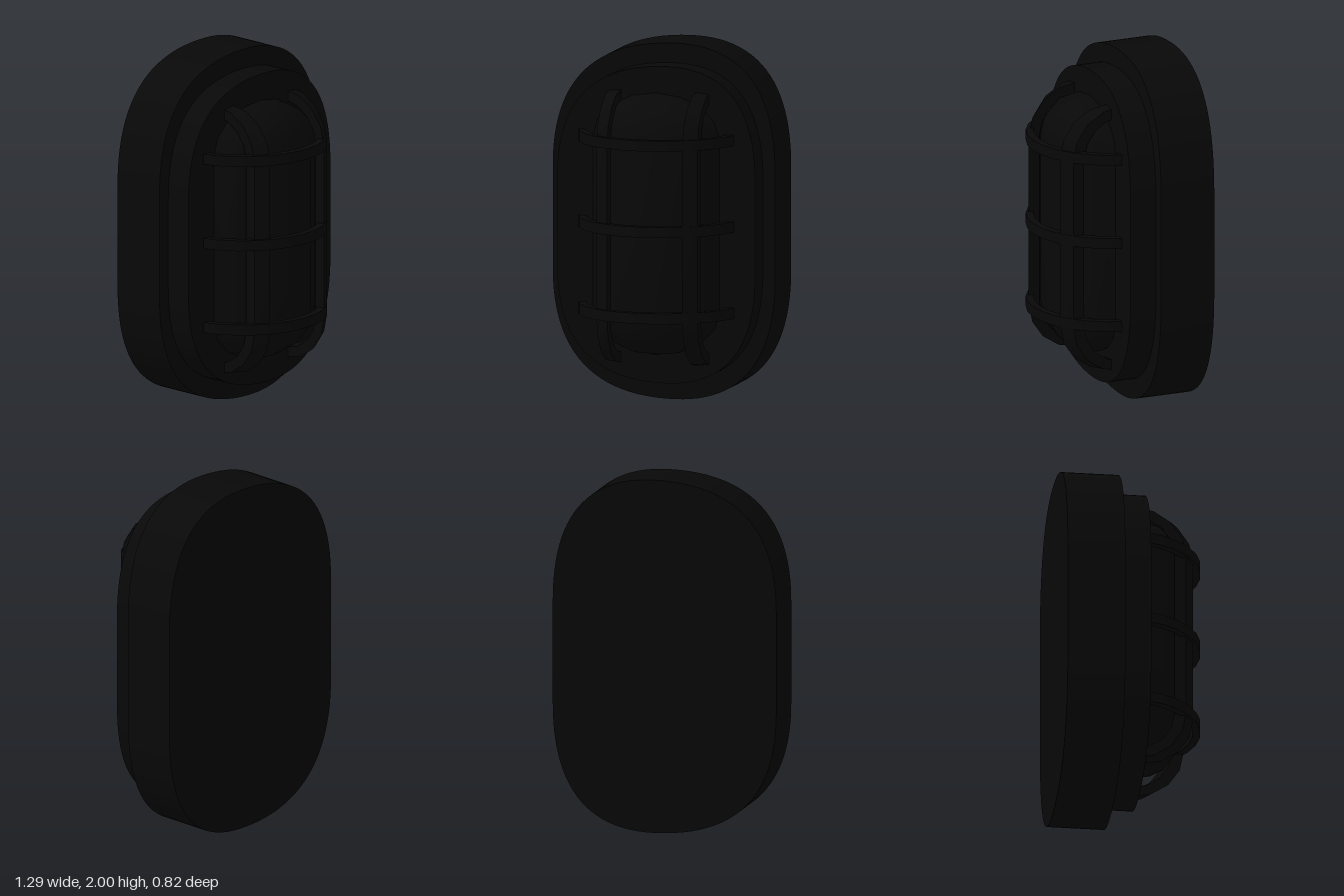
import * as THREE from 'three';
import { toCreasedNormals } from 'three/addons/utils/BufferGeometryUtils.js';

const material = new THREE.MeshStandardMaterial({ color: 0x080808 });

// Full rounded oval with a slightly offset crown, scaled about the centre
function ovalShape(s) {
  const w = 0.643 * s, apex = 0.065 * s, side = 0.29 * s;
  const shape = new THREE.Shape();
  shape.moveTo(w, -side);
  shape.lineTo(w, side);
  shape.quadraticCurveTo(w, s, apex, s);
  shape.quadraticCurveTo(-w, s, -w, side);
  shape.lineTo(-w, -side);
  shape.quadraticCurveTo(-w, -s, apex, -s);
  shape.quadraticCurveTo(w, -s, w, -side);
  return shape;
}

function extrude(shape, depth) {
  return new THREE.ExtrudeGeometry(shape, { depth, bevelEnabled: false, curveSegments: 24 });
}

// Points along an elliptical arc
function arc(cx, cy, rx, ry, from, to, steps) {
  return Array.from({ length: steps + 1 }, (_, i) => {
    const a = from + (to - from) * i / steps;
    return new THREE.Vector2(cx + rx * Math.cos(a), cy + ry * Math.sin(a));
  });
}

export function createModel() {
  const group = new THREE.Group();
  const add = (name, geometry, x, y, z) => {
    const mesh = new THREE.Mesh(toCreasedNormals(geometry, 0.6), material);
    mesh.name = name;
    mesh.position.set(x, y, z);
    group.add(mesh);
  };

  // Wall housing and its stepped front rim
  add('housing', extrude(ovalShape(1), 0.322), 0, 1, -0.409);
  add('frontRim', extrude(ovalShape(0.89), 0.167), 0, 1, -0.1);

  // Glass dome: a flattened capsule half sunk in the rim
  const dome = new THREE.CapsuleGeometry(0.25, 0.97, 4, 12);
  dome.scale(1.46, 1, 1);
  add('glassDome', dome, 0, 1.005, 0.067);

  // Horizontal guard hoops
  const hoopShape = new THREE.Shape([
    ...arc(0, 0, 0.464, 0.45, 0, Math.PI, 14),
    ...arc(0, 0, 0.421, 0.407, Math.PI, 0, 14),
  ]);
  for (const y of [0.52, 1.005, 1.49]) {
    const hoop = extrude(hoopShape, 0.06);
    hoop.translate(0, 0, -0.03);
    hoop.rotateX(Math.PI / 2);
    add('guardHoop', hoop, 0, y, -0.041);
  }

  // Vertical guard bars, bent back into the rim at both ends
  const h = Math.PI / 2, half = 0.485, tail = -0.08;
  const barPath = (rz, ry) => [
    new THREE.Vector2(tail, -half - ry),
    ...arc(0, -half, rz, ry, -h, 0, 4),
    ...arc(0, half, rz, ry, 0, h, 4),
    new THREE.Vector2(tail, half + ry),
  ];
  const barShape = new THREE.Shape([
    ...barPath(0.295, 0.285),
    ...barPath(0.23, 0.225).reverse(),
  ]);
  for (const x of [-0.242, 0.267]) {
    const bar = extrude(barShape, 0.075);
    bar.translate(0, 0, -0.0375);
    bar.rotateY(-Math.PI / 2);
    // Slant the bar so its face follows the curve of the hoops
    const p = bar.attributes.position;
    for (let i = 0; i < p.count; i++) {
      p.setZ(i, p.getZ(i) - 0.65 * Math.sign(x) * p.getX(i));
    }
    add('guardBar', bar, x, 0.985, 0.026);
  }

  return group;
}
